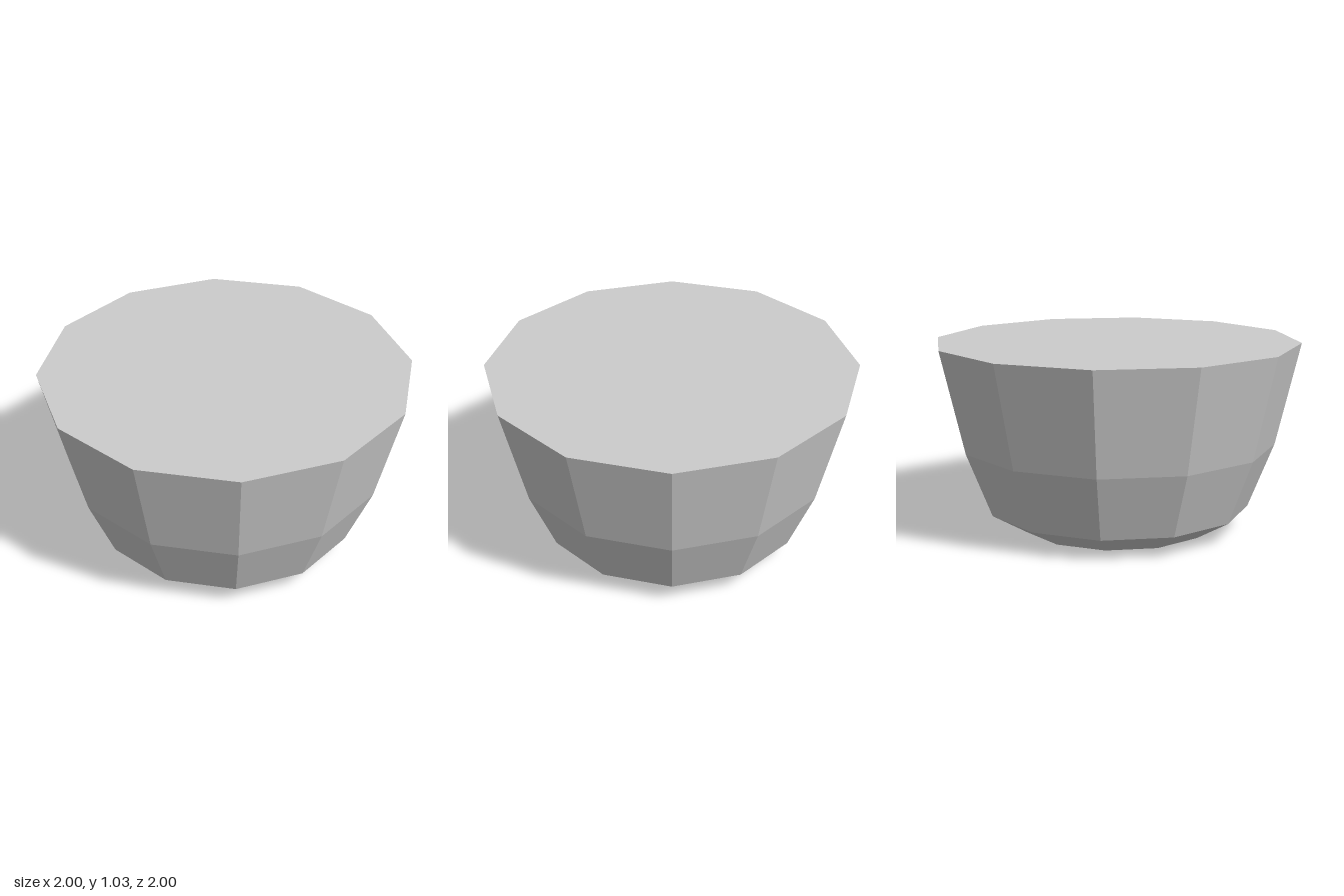
import * as THREE from 'three';

export function createModel() {
  const group = new THREE.Group();
  group.name = 'bowl';

  // Closed profile from the base centre, up the wall, to the centre of the flat top
  const profile = [
    [0, 0], [0.535, 0], [0.73, 0.115], [0.87, 0.47], [1, 1.03], [0, 1.03],
  ].map(([r, y]) => new THREE.Vector2(r, y));

  // Twelve-sided faceted body
  const body = new THREE.Mesh(
    new THREE.LatheGeometry(profile, 12),
    new THREE.MeshStandardMaterial({ color: 0xcccccc, flatShading: true })
  );
  body.name = 'bowlBody';
  group.add(body);

  return group;
}
